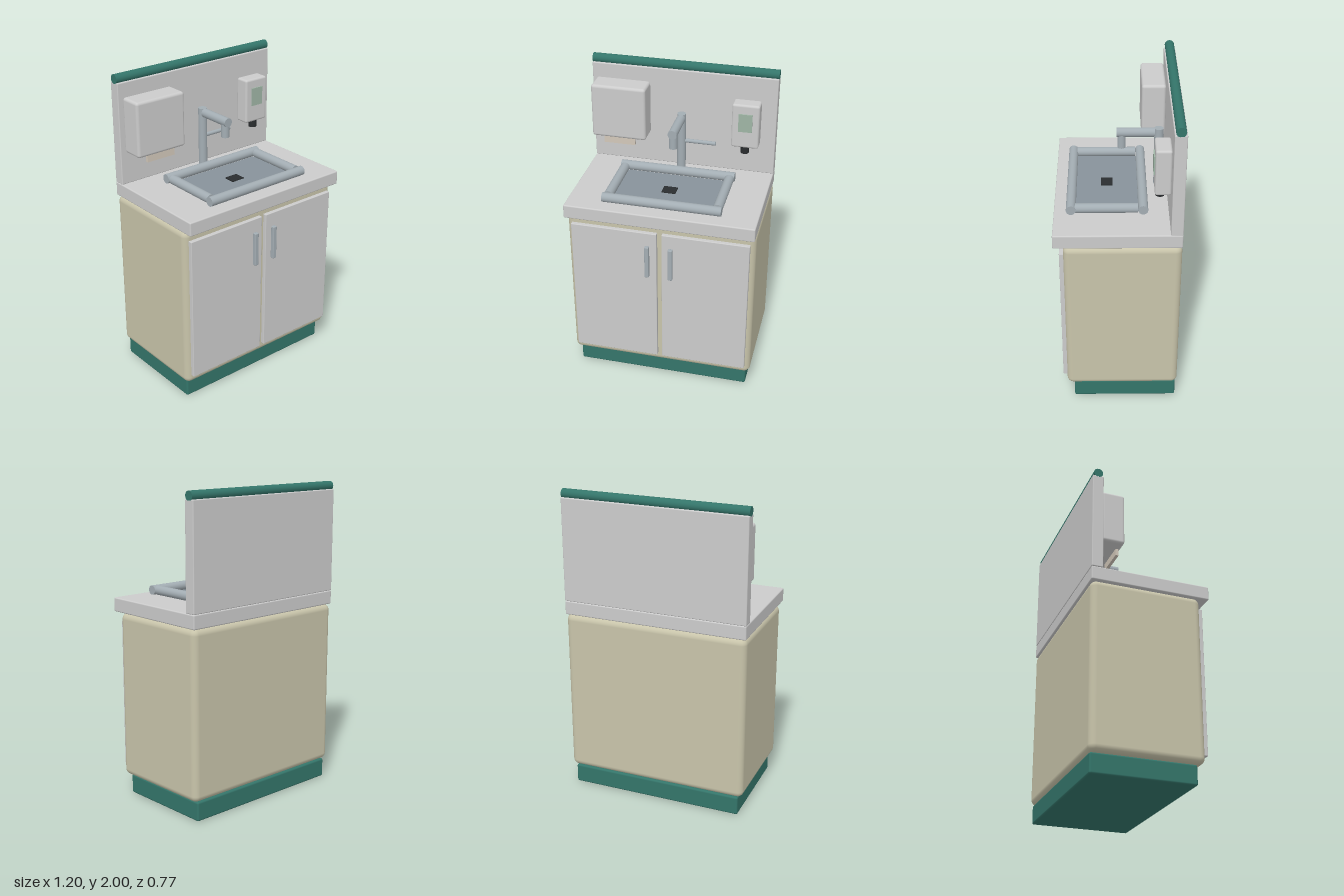
import * as THREE from 'three';
import { RoundedBoxGeometry } from 'three/addons/geometries/RoundedBoxGeometry.js';

const mat = (color) => new THREE.MeshStandardMaterial({ color });

export function createModel() {
  const model = new THREE.Group();
  model.name = 'washStation';

  const grey = mat(0xcccccc);
  const green = mat(0x34756a);
  const cream = mat(0xc8c4aa);
  const steel = mat(0xa3adb3);
  const basinSteel = mat(0x87929a);
  const black = mat(0x2a2d2f);
  const paper = mat(0xd2c8ba);
  const glass = mat(0x9fb5a5);

  const add = (name, geometry, material) => {
    const mesh = new THREE.Mesh(geometry, material);
    mesh.name = name;
    model.add(mesh);
    return mesh;
  };
  // Box given by its limits on each axis; a radius rounds its edges
  const box = (name, [x0, x1], [y0, y1], [z0, z1], material, radius = 0) => {
    const size = [x1 - x0, y1 - y0, z1 - z0];
    const geometry = radius
      ? new RoundedBoxGeometry(...size, 4, radius)
      : new THREE.BoxGeometry(...size);
    add(name, geometry, material).position.set((x0 + x1) / 2, (y0 + y1) / 2, (z0 + z1) / 2);
  };
  // Round bar between two points
  const bar = (name, from, to, radius, material) => {
    const a = new THREE.Vector3(...from);
    const b = new THREE.Vector3(...to);
    const mesh = add(name, new THREE.CylinderGeometry(radius, radius, a.distanceTo(b), 24), material);
    mesh.position.copy(a).lerp(b, 0.5);
    mesh.quaternion.setFromUnitVectors(new THREE.Vector3(0, 1, 0), b.sub(a).normalize());
  };

  // Cabinet
  box('plinth', [-0.57, 0.57], [0, 0.125], [-0.375, 0.28], green, 0.012);
  box('cabinet', [-0.6, 0.6], [0.125, 1.2], [-0.385, 0.325], cream, 0.04);
  box('countertop', [-0.6, 0.6], [1.2, 1.29], [-0.385, 0.385], grey, 0.008);

  // Doors with upright handles
  for (const [side, s] of [['left', 1], ['right', -1]]) {
    box(side + 'Door', [s * 0.292 - 0.276, s * 0.292 + 0.276], [0.185, 1.14], [0.315, 0.35], grey, 0.004);
    box(side + 'Handle', [s * 0.075 - 0.014, s * 0.075 + 0.014], [0.825, 1.05], [0.348, 0.375], steel, 0.005);
  }

  // Splashback with a round top rail
  box('splashback', [-0.6, 0.6], [1.29, 1.95], [-0.385, -0.312], grey, 0.006);
  bar('topRail', [-0.6, 1.97, -0.348], [0.6, 1.97, -0.348], 0.03, green);

  // Sink with a raised tubular rim
  box('basin', [-0.33, 0.33], [1.27, 1.296], [-0.14, 0.265], basinSteel);
  box('drain', [-0.045, 0.045], [1.29, 1.302], [0.025, 0.1], black);
  for (const z of [-0.157, 0.28]) {
    bar(z > 0 ? 'frontRim' : 'backRim', [-0.375, 1.322, z], [0.375, 1.322, z], 0.03, steel);
  }
  for (const s of [1, -1]) {
    bar(s > 0 ? 'leftRim' : 'rightRim', [s * 0.345, 1.322, -0.125], [s * 0.345, 1.322, 0.255], 0.03, steel);
  }

  // Tap
  bar('tapPost', [0, 1.29, -0.26], [0, 1.68, -0.26], 0.028, steel);
  bar('tapSpout', [0, 1.652, -0.235], [0, 1.652, 0], 0.029, steel);
  bar('tapNozzle', [0, 1.55, -0.03], [0, 1.64, -0.03], 0.026, steel);
  bar('tapLever', [0.02, 1.49, -0.262], [0.225, 1.49, -0.262], 0.013, steel);

  // Paper towel dispenser
  box('towelDispenser', [-0.57, -0.215], [1.505, 1.86], [-0.312, -0.16], grey, 0.018);
  box('paperTowel', [-0.495, -0.29], [1.46, 1.52], [-0.195, -0.175], paper);

  // Soap dispenser
  box('soapDispenser', [0.33, 0.505], [1.505, 1.8], [-0.312, -0.216], grey, 0.014);
  box('soapWindow', [0.374, 0.462], [1.62, 1.74], [-0.225, -0.208], glass);
  bar('soapNozzle', [0.416, 1.46, -0.25], [0.416, 1.51, -0.25], 0.027, black);

  return model;
}
